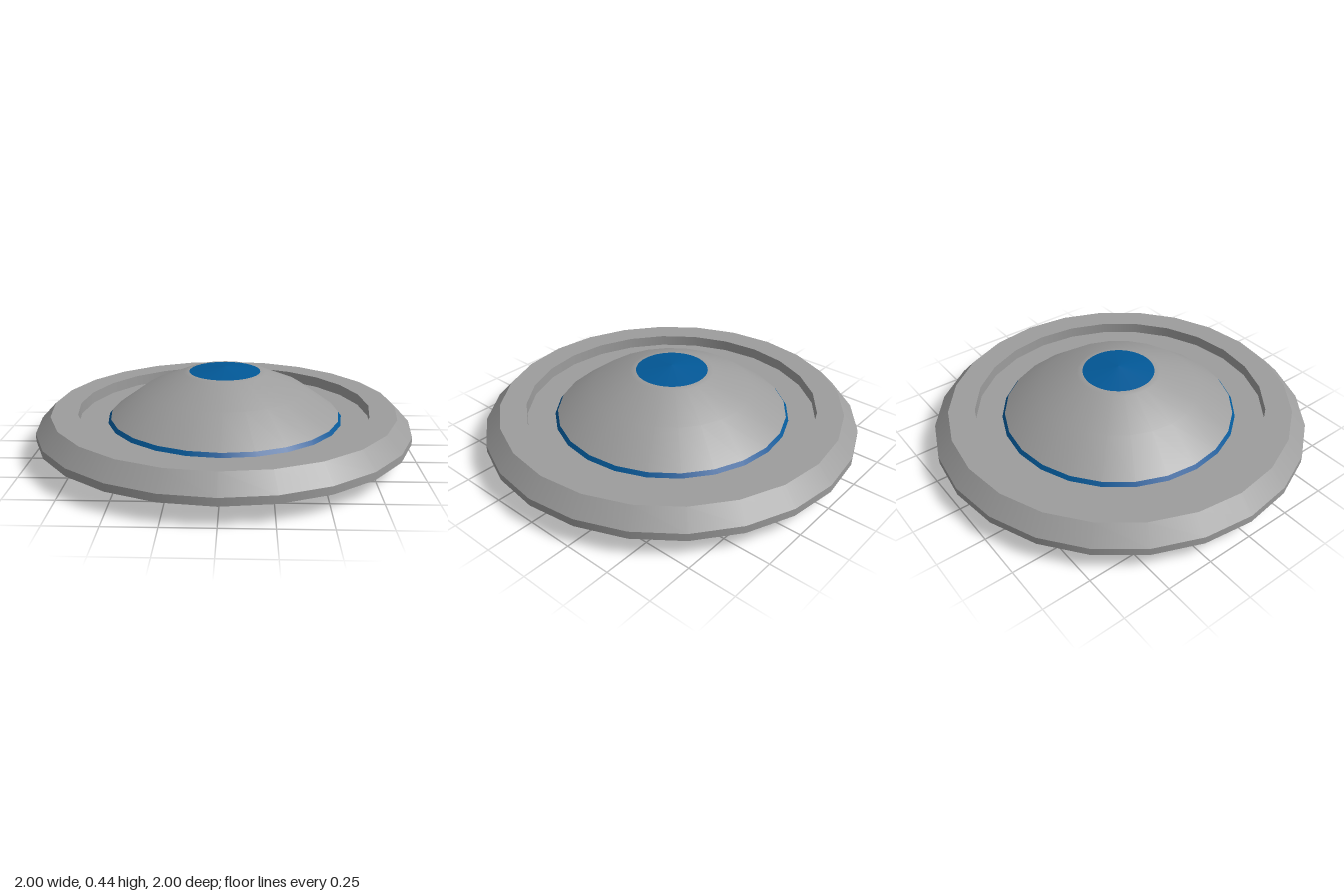
import * as THREE from 'three';

const SIDES = 24;
const grey = new THREE.MeshStandardMaterial({ color: 0x9d9d9d, side: THREE.DoubleSide });
const blue = new THREE.MeshStandardMaterial({ color: 0x025897, side: THREE.DoubleSide });

// Thin turned shell from [radius, height] pairs
function turned(name, profile, material, sides = SIDES) {
  const points = profile.map(([r, y]) => new THREE.Vector2(r, y));
  const mesh = new THREE.Mesh(new THREE.LatheGeometry(points, sides), material);
  mesh.name = name;
  return mesh;
}

export function createModel() {
  const model = new THREE.Group();
  model.name = 'saucer';

  // Rim: each band is its own shell, so the edges between bands stay sharp
  const rim = new THREE.Group();
  rim.name = 'rim';
  const rimProfile = [[1, 0.1], [1, 0.14], [0.92, 0.225], [0.78, 0.225], [0.78, 0.165], [0, 0.165]];
  const bands = ['rimEdge', 'rimBevel', 'rimTop', 'rimInnerWall', 'recessFloor'];
  bands.forEach((name, i) => rim.add(turned(name, [rimProfile[i], rimProfile[i + 1]], grey)));
  model.add(rim);

  // Body sits very slightly off the rim's centre
  const body = new THREE.Group();
  body.name = 'body';
  body.position.set(0.004, 0, -0.007);
  // Flared skirt, open below, passing up through the floor to the dome
  body.add(turned('skirt', [[0.753, 0], [0.617, 0.185]], blue));
  // Dome in three steps with a round coloured cap at its crown
  body.add(turned('dome', [[0.617, 0.185], [0.43, 0.32], [0.22, 0.408], [0.19, 0.412]], grey));
  body.add(turned('domeCap', [[0.19, 0.412], [0, 0.437]], blue, 48));
  model.add(body);

  return model;
}
